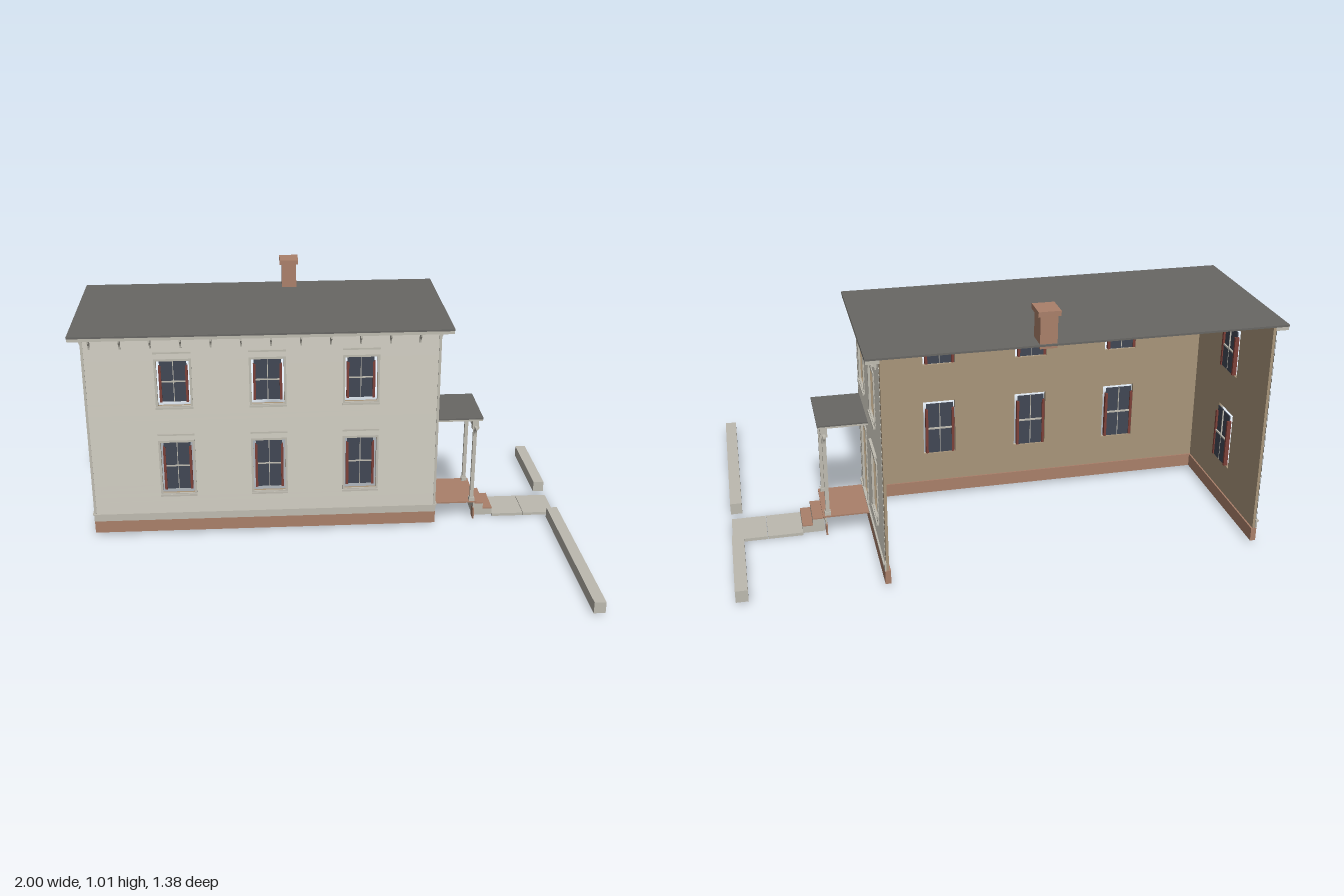
import * as THREE from 'three';

const mat = (name, color, extra = {}) => Object.assign(new THREE.MeshStandardMaterial({ color, ...extra }), { name });
const M = {
  siding: mat('siding', 0xc6c3b8, { side: THREE.DoubleSide }),
  trim: mat('trim', 0xbfbcb1),
  concrete: mat('concrete', 0xbdbab0),
  interior: mat('interior plaster', 0xa8957a),
  brick: mat('brick', 0xaa806a),
  roof: mat('roofing', 0x686764),
  glass: mat('glass', 0x414754),
  shutter: mat('shutter red', 0x7c4038),
};

function add(parent, name, geo, material, x = 0, y = 0, z = 0) {
  const m = new THREE.Mesh(geo, material);
  m.name = name;
  m.position.set(x, y, z);
  parent.add(m);
  return m;
}

// box given by its min and max on each axis
function block(parent, name, material, x0, x1, y0, y1, z0, z1) {
  return add(parent, name, new THREE.BoxGeometry(x1 - x0, y1 - y0, z1 - z0), material,
    (x0 + x1) / 2, (y0 + y1) / 2, (z0 + z1) / 2);
}

// curved bracket: reaches d along +x, hangs h below its top, t thick
function bracketGeo(d, h, t) {
  const s = new THREE.Shape();
  s.moveTo(0, 0);
  s.lineTo(0, -h);
  s.lineTo(d * 0.15, -h);
  s.quadraticCurveTo(d * 0.25, -h * 0.3, d, -h * 0.2);
  s.lineTo(d, 0);
  return new THREE.ExtrudeGeometry(s, { depth: t, bevelEnabled: false, curveSegments: 6 }).translate(0, 0, -t / 2);
}

// overlapping sloped boards that leave the openings free
function clapboards(len, y0, y1, rows, holes) {
  const step = (y1 - y0) / rows, pos = [];
  const levels = [...Array(rows + 1).keys()].map((i) => ({ y: y0 + i * step, lip: true }));
  for (const h of holes) for (const y of [h.y0, h.y1]) levels.push({ y, lip: false });
  levels.sort((a, b) => a.y - b.y);
  const depth = (y, ref) => 0.005 - 0.004 * ((y - y0) / step - Math.floor((ref - y0) / step));
  const quad = (a, b, ya, za, yb, zb) =>
    pos.push(a, ya, za, b, ya, za, b, yb, zb, a, ya, za, b, yb, zb, a, yb, zb);
  for (let i = 0; i < levels.length - 1; i++) {
    const a = levels[i].y, b = levels[i + 1].y, mid = (a + b) / 2;
    if (b - a < 1e-5 || mid < y0 || mid > y1) continue;
    const cuts = holes.filter((h) => h.y0 < mid && h.y1 > mid).sort((p, q) => p.u - q.u);
    let left = -len / 2;
    for (const c of [...cuts, null]) {
      const right = c ? c.u - c.w / 2 : len / 2;
      if (levels[i].lip) quad(left, right, a, 0.001, a, depth(a, mid));
      quad(left, right, a, depth(a, mid), b, depth(b, mid));
      if (c) left = c.u + c.w / 2;
    }
  }
  const g = new THREE.BufferGeometry();
  g.setAttribute('position', new THREE.Float32BufferAttribute(pos, 3));
  g.computeVertexNormals();
  return g;
}

const rect = (C, x0, x1, y0, y1) => {
  const s = new C();
  s.moveTo(x0, y0); s.lineTo(x1, y0); s.lineTo(x1, y1); s.lineTo(x0, y1); s.closePath();
  return s;
};

// casing around an opening
function casing(parent, h, b) {
  const s = rect(THREE.Shape, h.u - h.w / 2 - b, h.u + h.w / 2 + b, h.y0 - b, h.y1 + b);
  s.holes.push(rect(THREE.Path, h.u - h.w / 2, h.u + h.w / 2, h.y0, h.y1));
  add(parent, 'casing', new THREE.ExtrudeGeometry(s, { depth: 0.008, bevelEnabled: false }), M.trim);
}

function sashWindow(parent, h) {
  const g = new THREE.Group();
  g.name = 'window';
  parent.add(g);
  casing(g, h, 0.009);
  const a = h.u - 0.054, b = h.u + 0.054, y0 = h.y0 + 0.01, y1 = h.y1 - 0.006, mid = (y0 + y1) / 2;
  block(g, 'lowerGlass', M.glass, a, b, y0, mid, -0.022, -0.018);
  block(g, 'upperGlass', M.glass, a, b, mid, y1, -0.018, -0.014);
  block(g, 'meetingRail', M.trim, a, b, mid - 0.003, mid + 0.003, -0.024, -0.012);
  block(g, 'muntin', M.trim, h.u - 0.0015, h.u + 0.0015, y0, y1, -0.023, -0.013);
  for (const s of [-1, 1]) {
    const c = h.u + s * 0.053;
    block(g, 'shutterEdge', M.shutter, c - 0.005, c + 0.005, y0, y1 - 0.022, -0.026, -0.01);
  }
  block(g, 'sill', M.trim, h.u - 0.075, h.u + 0.075, h.y0 - 0.012, h.y0 - 0.004, 0, 0.013);
  block(g, 'hood', M.trim, h.u - 0.075, h.u + 0.075, h.y1 + 0.033, h.y1 + 0.04, 0, 0.014);
}

// wall in its own frame: x along the wall, +z outward
function wall(parent, name, len, windows, doors, brackets) {
  const g = new THREE.Group();
  g.name = name;
  parent.add(g);
  const holes = [...windows, ...doors];
  const s = rect(THREE.Shape, -len / 2, len / 2, 0.04, 0.885);
  for (const h of holes) s.holes.push(rect(THREE.Path, h.u - h.w / 2, h.u + h.w / 2, h.y0, h.y1));
  add(g, 'innerWall', new THREE.ExtrudeGeometry(s, { depth: 0.01, bevelEnabled: false }), M.interior, 0, 0, -0.01);
  add(g, 'clapboards', clapboards(len, 0.1, 0.88, 30, holes), M.siding);
  windows.forEach((h) => sashWindow(g, h));
  doors.forEach((h) => casing(g, h, 0.012));
  block(g, 'foundation', M.brick, -len / 2 - 0.004, len / 2 + 0.004, 0.015, 0.068, -0.016, 0.005);
  block(g, 'waterTable', M.trim, -len / 2 - 0.004, len / 2 + 0.004, 0.068, 0.096, 0, 0.006);
  block(g, 'waterTableCap', M.trim, -len / 2 - 0.006, len / 2 + 0.006, 0.096, 0.102, 0, 0.011);
  for (const u of brackets) {
    add(g, 'eaveBracket', bracketGeo(0.04, 0.045, 0.007), M.trim, u, 0.872, 0.003).rotation.y = -Math.PI / 2;
  }
  return g;
}

const upper = (u) => ({ u, w: 0.13, y0: 0.58, y1: 0.772 });
const lower = (u) => ({ u, w: 0.13, y0: 0.19, y1: 0.42 });
const both = (u) => [upper(u), lower(u)];

export function createModel() {
  const root = new THREE.Group();
  root.name = 'house';

  // walls; the back stays open
  const X0 = -0.95, X1 = 0.465, ZF = -0.045, ZB = -0.688;
  const cx = (X0 + X1) / 2, cz = (ZF + ZB) / 2, depth = ZF - ZB;
  const frontBrackets = Array.from({ length: 12 }, (_, i) => -0.92 + i * 0.1185 - cx);
  const sideBrackets = [-0.075, -0.145, -0.265, -0.385, -0.505, -0.63].map((z) => cz - z);
  wall(root, 'frontWall', X1 - X0, [-0.6, -0.225, 0.15].flatMap((x) => both(x - cx)), [], frontBrackets)
    .position.set(cx, 0, ZF);
  const east = wall(root, 'entranceWall', depth, [...both(cz + 0.48), upper(cz + 0.185)],
    [{ u: cz + 0.185, w: 0.13, y0: 0.1, y1: 0.415 }], sideBrackets);
  east.position.set(X1, 0, cz);
  east.rotation.y = Math.PI / 2;
  const west = wall(root, 'farWall', depth, both(0), [], sideBrackets.map((u) => -u));
  west.position.set(X0, 0, cz);
  west.rotation.y = -Math.PI / 2;
  for (const x of [X0, X1]) block(root, 'cornerBoard', M.trim, x - 0.005, x + 0.005, 0.1, 0.88, ZF - 0.005, ZF + 0.005);

  // roof and boxed eaves
  block(root, 'roof', M.roof, -1, 0.515, 0.885, 0.892, -0.69, 0);
  block(root, 'frontEave', M.trim, -0.998, 0.513, 0.872, 0.885, ZF, -0.002);
  block(root, 'entranceEave', M.trim, X1, 0.513, 0.872, 0.885, -0.689, ZF);
  block(root, 'farEave', M.trim, -0.998, X0, 0.872, 0.885, -0.689, ZF);

  // chimney
  const chimney = new THREE.Group();
  chimney.name = 'chimney';
  root.add(chimney);
  block(chimney, 'shaft', M.brick, -0.147, -0.085, 0.875, 0.995, -0.685, -0.606);
  block(chimney, 'cap', M.brick, -0.156, -0.076, 0.993, 1.012, -0.692, -0.6);

  // entrance porch
  const porch = new THREE.Group();
  porch.name = 'porch';
  root.add(porch);
  const pz = -0.187;
  block(porch, 'porchRoof', M.roof, X1, 0.658, 0.48, 0.486, pz - 0.133, pz + 0.133);
  block(porch, 'porchCornice', M.trim, X1, 0.656, 0.472, 0.48, pz - 0.131, pz + 0.131);
  block(porch, 'porchCeiling', M.brick, X1, 0.62, 0.469, 0.472, pz - 0.108, pz + 0.108);
  block(porch, 'porchBeam', M.trim, 0.62, 0.645, 0.435, 0.472, pz - 0.11, pz + 0.11);
  block(porch, 'archHeader', M.trim, 0.628, 0.637, 0.418, 0.435, pz - 0.09, pz + 0.09);
  block(porch, 'porchFloor', M.brick, X1, 0.652, 0.085, 0.091, pz - 0.112, pz + 0.112);
  block(porch, 'floorFascia', M.trim, 0.638, 0.645, 0.06, 0.085, pz - 0.112, pz + 0.112);
  for (const s of [-1, 1]) {
    const z = pz + s * 0.096;
    block(porch, 'post', M.trim, 0.625, 0.64, 0.09, 0.44, z - 0.0075, z + 0.0075);
    block(porch, 'postBase', M.trim, 0.621, 0.644, 0.09, 0.105, z - 0.0115, z + 0.0115);
    block(porch, 'postCap', M.trim, 0.619, 0.647, 0.425, 0.437, z - 0.014, z + 0.014);
    for (const t of [-1, 1]) {
      const b = add(porch, 'postBracket', bracketGeo(0.034, 0.04, 0.01), M.trim, 0.6325, 0.44, z + t * 0.006);
      b.rotation.y = -t * Math.PI / 2;
    }
    const c = pz + s * 0.1;
    block(porch, 'pier', M.brick, 0.637, 0.643, 0.012, 0.06, c - 0.02, c + 0.02);
  }

  // steps with brick treads
  [[0.645, 0.69, 0.058], [0.69, 0.73, 0.032]].forEach(([a, b, h]) => {
    block(root, 'step', M.concrete, a, b, 0.004, h, pz - 0.07, pz + 0.07);
    block(root, 'tread', M.brick, a, b, h, h + 0.004, pz - 0.07, pz + 0.07);
  });

  // path slabs and street walls
  block(root, 'pathSlab', M.concrete, 0.73, 0.864, 0, 0.012, pz - 0.08, pz + 0.08);
  block(root, 'pathSlab', M.concrete, 0.866, 0.998, 0, 0.012, pz - 0.08, pz + 0.08);
  block(root, 'longStreetWall', M.concrete, 0.955, 1, 0.01, 0.056, -0.065, 0.69);
  block(root, 'shortStreetWall', M.concrete, 0.955, 1, 0.01, 0.056, -0.69, -0.308);
  return root;
}
